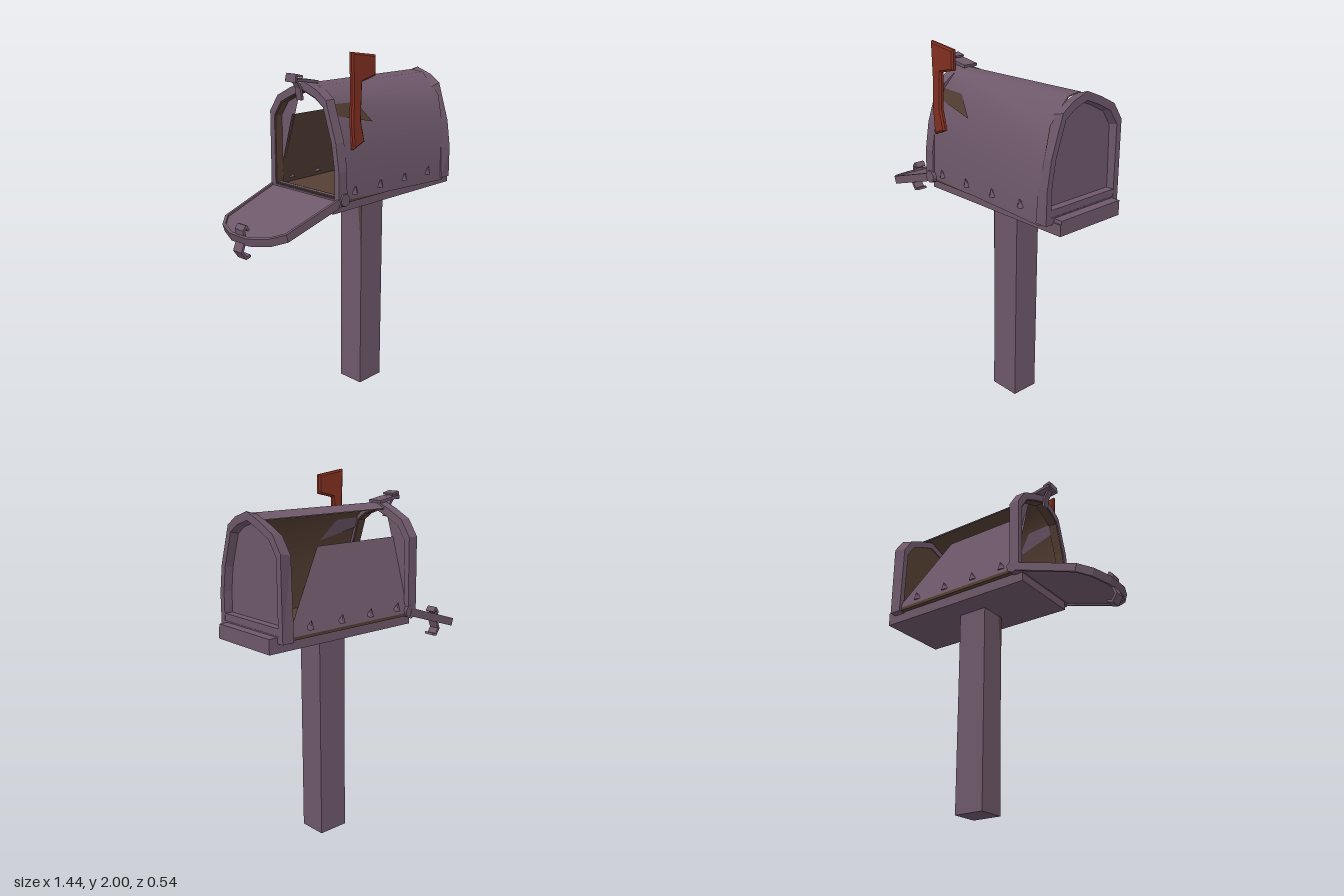
import * as THREE from 'three';
import { toCreasedNormals } from 'three/addons/utils/BufferGeometryUtils.js';

export function createModel() {
  const root = new THREE.Group();
  const paint = (name, color) => {
    const m = new THREE.MeshStandardMaterial({ color, side: THREE.DoubleSide });
    m.name = name;
    return m;
  };
  const metal = paint('dusty purple', 0x6e586a);
  const inside = paint('rust brown', 0x553f34);
  const red = paint('flag red', 0x822f20);

  const add = (name, geo, mat, parent = root) => {
    const m = new THREE.Mesh(geo, mat);
    m.name = name;
    parent.add(m);
    return m;
  };
  const box = (name, x0, x1, y0, y1, z0, z1, mat) =>
    add(name, new THREE.BoxGeometry(x1 - x0, y1 - y0, z1 - z0), mat)
      .position.set((x0 + x1) / 2, (y0 + y1) / 2, (z0 + z1) / 2);

  // Convex faces given as corner loops; push moves them along z
  const faces = (loops) => {
    const pos = [];
    for (const l of loops)
      for (let i = 1; i < l.length - 1; i++) pos.push(...l[0], ...l[i], ...l[i + 1]);
    const g = new THREE.BufferGeometry();
    g.setAttribute('position', new THREE.Float32BufferAttribute(pos, 3));
    return toCreasedNormals(g, 0.75);
  };

  // Post with a worn sliver near its top
  box('post', 0.105, 0.283, 0, 1.18, -0.08, 0.08, metal);
  add('postWear', faces([[[0.103, 1.17, 0.05], [0.103, 1.17, 0.08], [0.103, 0.86, 0.08]]]), inside);

  // Floor tray with a raised tail, and the brown floor resting on it
  box('floorTray', -0.255, 0.72, 1.17, 1.23, -0.222, 0.212, metal);
  box('trayTail', 0.61, 0.72, 1.2, 1.25, -0.222, 0.205, metal);
  box('innerFloor', -0.22, 0.605, 1.226, 1.246, -0.25, 0.246, inside);

  // Body shell: sections (z, y) from rear foot over the roof to front foot
  const section = (x, inset = 0) => {
    const t = (x + 0.22) / 0.84;
    return [[-0.252, 1.243], [-0.13, 1.65], [-0.07, 1.8], [0, 1.83], [0.08, 1.82],
      [0.16 + 0.04 * t, 1.74 - 0.04 * t], [0.242, 1.5], [0.25, 1.245 - 0.04 * t]]
      .map(([z, y]) => [x, y - (y > 1.7 ? inset : 0), z - Math.sign(z) * inset]);
  };
  const shell = (inset) => {
    const a = section(-0.22, inset), b = section(0.62, inset);
    // the rear wall is cut back, leaving an opening under the roof
    const loops = [[a[0], a[1], [0.33, 1.65, inset - 0.13], [0.62, 1.25, inset - 0.25], b[0]]];
    for (let i = 2; i < a.length - 1; i++) loops.push([a[i], a[i + 1], b[i + 1], b[i]]);
    return faces(loops);
  };
  add('bodyShell', shell(0), metal);
  add('bodyLining', shell(0.005), inside);

  // Rust patch on the front shoulder, purple on its inner side
  const patch = (off) => [[-0.2, 1.735], [-0.2, 1.675], [0.045, 1.62], [-0.05, 1.73]].map(([x, y]) => {
    const s = section(x), k = (y - 1.5) / (s[5][1] - 1.5);
    return [x, y, s[6][2] + (s[5][2] - s[6][2]) * k + off];
  });
  add('rustPatch', faces([patch(0.004)]), inside);
  add('rustPatchInside', faces([patch(-0.014)]), metal);

  // End frames follow one arched outline (z, y)
  const arch = [[-0.265, 1.22], [-0.262, 1.66], [-0.2, 1.75], [-0.1, 1.8], [0, 1.84], [0.1, 1.805],
    [0.165, 1.76], [0.235, 1.55], [0.258, 1.4], [0.26, 1.22]];
  const loop = (k) => arch.map(([z, y]) => new THREE.Vector2(-z * k, 1.5 + (y - 1.5) * k));
  const slab = (k, hole, x0, x1) => {
    const s = new THREE.Shape(loop(k));
    if (hole) s.holes.push(new THREE.Path(loop(hole)));
    const g = new THREE.ExtrudeGeometry(s, { depth: x1 - x0, bevelEnabled: false });
    return g.rotateY(Math.PI / 2).translate(x0, 0, 0);
  };
  add('frontFrame', slab(1, 0.87, -0.26, -0.2), metal);
  add('frontFrameLining', slab(0.872, 0.85, -0.255, -0.205), inside);
  // fills the gap between the front frame and the leaning rear wall
  add('frontWeb', faces([[[-0.21, 1.245, -0.25], [-0.21, 1.65, -0.25], [-0.21, 1.75, -0.19],
    [-0.21, 1.8, -0.07], [-0.21, 1.65, -0.13]]]), metal);
  // rear frame flares outward
  const rear = slab(1, 0.87, 0.6, 0.67);
  const rp = rear.attributes.position;
  for (let i = 0; i < rp.count; i++)
    if (rp.getX(i) < 0.63 && rp.getY(i) > 1.3) {
      rp.setY(i, 1.3 + (rp.getY(i) - 1.3) * 0.96);
      rp.setZ(i, rp.getZ(i) * 0.96);
    }
  rear.computeVertexNormals();
  add('rearFrame', rear, metal);
  add('rearPanel', slab(0.9, 0, 0.615, 0.625), metal);
  add('rearPanelLining', slab(0.9, 0, 0.608, 0.615), inside);
  box('rearSill', 0.62, 0.668, 1.225, 1.295, -0.235, 0.235, metal);

  // Rivets and hinge knobs on both sides
  for (const s of [-1, 1]) {
    for (const x of [-0.13, 0.07, 0.272, 0.48]) {
      const r = add('rivet', new THREE.ConeGeometry(0.023, 0.045, 5), metal);
      r.position.set(x, 1.29, s * 0.249);
      r.rotation.x = s * 0.3;
    }
    const k = add('hingeKnob', new THREE.CylinderGeometry(0.035, 0.04, 0.03, 7), metal);
    k.position.set(-0.22, 1.25, s * 0.253);
    k.rotation.x = Math.PI / 2;
  }

  // Open door: thin plate with a raised rim
  const door = new THREE.Group();
  door.name = 'door';
  door.position.set(-0.22, 1.25, -0.005);
  door.rotation.z = 0.31;
  root.add(door);
  const half = [[0, 0.265], [-0.4, 0.24], [-0.47, 0.18], [-0.515, 0.07]];
  const doorPts = [...half, ...half.map(([x, z]) => [x, -z]).reverse()];
  const doorLoop = (k) => doorPts.map(([x, z]) => new THREE.Vector2(-0.25 + (x + 0.25) * k, z * k));
  const doorSlab = (k, hole, y0, y1) => {
    const s = new THREE.Shape(doorLoop(k));
    if (hole) s.holes.push(new THREE.Path(doorLoop(hole)));
    return new THREE.ExtrudeGeometry(s, { depth: y1 - y0, bevelEnabled: false })
      .rotateX(Math.PI / 2).translate(0, y1, 0);
  };
  add('doorPlate', doorSlab(0.98, 0, -0.015, 0.01), metal, door);
  add('doorRim', doorSlab(1, 0.94, -0.025, 0.02), metal, door);

  // Bent metal straps for the latch, one bar for each stretch (x, y)
  const strap = (name, pts, width, thick) => {
    const g = new THREE.Group();
    g.name = name;
    for (let i = 0; i < pts.length - 1; i++) {
      const [x0, y0] = pts[i], [x1, y1] = pts[i + 1];
      const len = Math.hypot(x1 - x0, y1 - y0) + thick * 0.5;
      const m = add('strapPiece', new THREE.BoxGeometry(len, thick, width), metal, g);
      m.position.set((x0 + x1) / 2, (y0 + y1) / 2, -0.008);
      m.rotation.z = Math.atan2(y1 - y0, x1 - x0);
    }
    root.add(g);
  };
  strap('topLatch', [[-0.19, 1.835], [-0.28, 1.85], [-0.33, 1.855]], 0.09, 0.016);
  strap('topLatchHook', [[-0.29, 1.87], [-0.33, 1.88], [-0.335, 1.845]], 0.075, 0.012);
  strap('topLatchTongue', [[-0.31, 1.85], [-0.285, 1.81], [-0.275, 1.75]], 0.04, 0.014);
  strap('doorLatch', [[-0.67, 1.14], [-0.685, 1.16], [-0.7, 1.14], [-0.695, 1.08], [-0.715, 1.03],
    [-0.69, 0.993], [-0.665, 1.0]], 0.065, 0.014);

  // Signal flag with a bevelled edge
  const flag = new THREE.Shape([[-0.17, 1.99], [-0.01, 1.967], [-0.01, 1.878], [-0.11, 1.855],
    [-0.117, 1.65], [-0.09, 1.545], [-0.155, 1.517], [-0.167, 1.65], [-0.162, 1.8]]
    .map(([x, y]) => new THREE.Vector2(x, y)));
  const flagGeo = new THREE.ExtrudeGeometry(flag, {
    depth: 0.014, bevelSize: 0.01, bevelThickness: 0.008, bevelSegments: 1 });
  add('flag', flagGeo, red).position.z = 0.25;

  return root;
}
